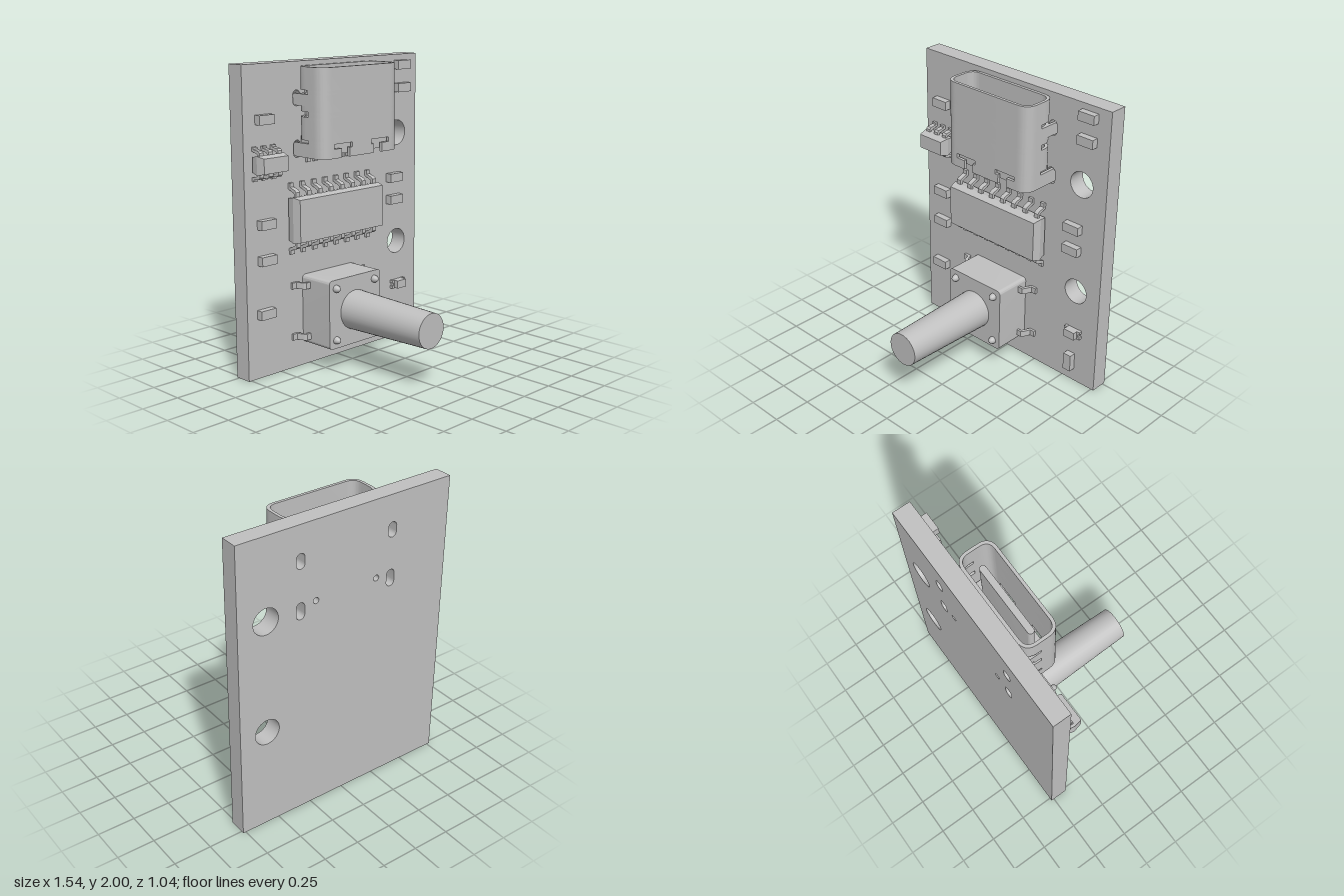
import * as THREE from 'three';
import { toCreasedNormals } from 'three/addons/utils/BufferGeometryUtils.js';

const FRONT = -0.4; // z of the board's component side

export function createModel() {
  const model = new THREE.Group();
  const grey = new THREE.MeshStandardMaterial({ color: 0xc0c0c0 });
  grey.name = 'plain grey';

  const add = (name, geo, x = 0, y = 0, z = 0, parent = model) => {
    const mesh = new THREE.Mesh(geo, grey);
    mesh.name = name;
    mesh.position.set(x, y, z);
    parent.add(mesh);
    return mesh;
  };
  const group = (name) => {
    const g = new THREE.Group();
    g.name = name;
    model.add(g);
    return g;
  };
  // Box given by its limits
  const block = (name, x0, x1, y0, y1, z0, z1, parent) =>
    add(name, new THREE.BoxGeometry(x1 - x0, y1 - y0, z1 - z0), (x0 + x1) / 2, (y0 + y1) / 2, (z0 + z1) / 2, parent);
  const extrude = (shape, depth) =>
    toCreasedNormals(new THREE.ExtrudeGeometry(shape, { depth, bevelEnabled: false, curveSegments: 16 }), 0.6);

  // Moulded chip body, widest halfway up
  const chipBody = (w, h, d, inset) => {
    const geo = new THREE.BoxGeometry(w, h, d, 1, 1, 2);
    const p = geo.attributes.position;
    for (let i = 0; i < p.count; i++) {
      if (Math.abs(p.getZ(i)) < 1e-4) continue;
      p.setX(i, p.getX(i) - Math.sign(p.getX(i)) * inset);
      p.setY(i, p.getY(i) - Math.sign(p.getY(i)) * inset);
    }
    const flat = geo.toNonIndexed();
    flat.computeVertexNormals();
    return flat;
  };

  // Bent lead running out along +x and stepping down to the board
  const leadGeometry = (reach, height, width, t = 0.017) => {
    const a = reach * 0.35, b = reach * 0.6;
    const pts = [[-0.02, height], [a, height], [a + 0.012, height - 0.012], [b + 0.006, t], [reach, t],
      [reach, 0], [b - 0.006, 0], [a - 0.008, height - t - 0.006], [a - 0.014, height - t], [-0.02, height - t]];
    const shape = new THREE.Shape(pts.map(([x, y]) => new THREE.Vector2(x, y)));
    const geo = new THREE.ExtrudeGeometry(shape, { depth: width, bevelEnabled: false });
    return geo.translate(0, 0, -width / 2).rotateX(Math.PI / 2);
  };

  // Circuit board with mounting holes, slots and locating holes
  const rect = new THREE.Shape([[-0.77, 0], [0.77, 0], [0.77, 2], [-0.77, 2]].map(([x, y]) => new THREE.Vector2(x, y)));
  const round = (x, y, r) => rect.holes.push(new THREE.Path().absarc(x, y, r, 0, Math.PI * 2, true));
  const slot = (x, y, r, half) => {
    const p = new THREE.Path();
    p.absarc(x, y + half, r, 0, Math.PI, false);
    p.absarc(x, y - half, r, Math.PI, Math.PI * 2, false);
    p.closePath();
    rect.holes.push(p);
  };
  round(0.577, 1.464, 0.087);
  round(0.577, 0.695, 0.087);
  for (const s of [-1, 1]) {
    slot(s * 0.335, 1.77, 0.03, 0.02);
    slot(s * 0.335, 1.447, 0.03, 0.026);
    round(s * 0.224, 1.48, 0.02);
  }
  add('circuitBoard', extrude(rect, 0.12), 0, 0, -0.52);

  // Connector shell, stacked from half sections so its side slots stay open
  const socket = group('socket');
  const W = 0.342, F = 0.152, B = 0.395, R = 0.085, T = 0.02;
  const shellPart = (y0, y1, xin = 0, full = true) => {
    for (const s of [-1, 1]) {
      const p = new THREE.Shape();
      p.moveTo(s * xin, F);
      p.lineTo(s * (W - R), F);
      p.quadraticCurveTo(s * W, F, s * W, F + R);
      if (full) {
        p.lineTo(s * W, B - R);
        p.quadraticCurveTo(s * W, B, s * (W - R), B);
        p.lineTo(0, B);
        p.lineTo(0, B - T);
        p.lineTo(s * (W - R), B - T);
        p.quadraticCurveTo(s * (W - T), B - T, s * (W - T), B - R);
      } else {
        p.lineTo(s * W, 0.286);
        p.lineTo(s * (W - T), 0.286);
      }
      p.lineTo(s * (W - T), F + R);
      p.quadraticCurveTo(s * (W - T), F + T, s * (W - R), F + T);
      p.lineTo(s * xin, F + T);
      p.closePath();
      add('socketShell', extrude(p, y1 - y0).rotateX(-Math.PI / 2), 0, y0, 0, socket);
    }
  };
  shellPart(1.825, 1.97);
  shellPart(1.8, 1.825, 0, false);
  shellPart(1.69, 1.8);
  shellPart(1.657, 1.69, 0, false);
  shellPart(1.51, 1.657);
  shellPart(1.49, 1.51, 0, false);
  shellPart(1.46, 1.49, 0.245, false);
  shellPart(1.4, 1.46, 0.18, false);
  block('shellFrontTab', -0.085, 0.085, 1.46, 1.49, -F - T, -F, socket);
  block('shellFrontTab', -0.11, 0.11, 1.4, 1.46, -F - T, -F, socket);
  block('shellBack', -0.27, 0.27, 1.4, 1.83, -B, -B + T, socket);
  block('socketInsulator', -0.315, 0.315, 1.42, 1.53, -0.385, -0.19, socket);
  const tongue = new THREE.Shape();
  tongue.absarc(0.23, 0.279, 0.021, -Math.PI / 2, Math.PI / 2);
  tongue.absarc(-0.23, 0.279, 0.021, Math.PI / 2, Math.PI * 1.5);
  add('socketTongue', extrude(tongue, 0.39).rotateX(-Math.PI / 2), 0, 1.5, 0, socket);
  for (const s of [-1, 1]) {
    const x = s * (W - T / 2);
    block('shellLeg', x - T / 2, x + T / 2, 1.725, 1.8, -0.46, -0.286, socket);
    block('shellLeg', x - T / 2, x + T / 2, 1.4, 1.49, -0.46, -0.28, socket);
    for (const [px, w] of [[0.25, 0.028], [0.19, 0.028], [0.137, 0.018], [0.098, 0.018], [0.059, 0.018], [0.02, 0.018]])
      block('socketPin', s * px - w / 2, s * px + w / 2, 1.355, 1.45, FRONT, -0.382, socket);
  }

  // Chips with bent leads above and below
  const chip = (name, x, y, w, h, count, pitch, reach) => {
    const g = group(name);
    add(name + 'Body', chipBody(w, h, 0.112, 0.012), x, y, -0.329, g);
    const geo = leadGeometry(reach, 0.075, 0.033);
    for (let i = 0; i < count; i++)
      for (const s of [-1, 1])
        add(name + 'Lead', geo, x + (i - (count - 1) / 2) * pitch, y + s * h / 2, FRONT, g).rotation.z = s * Math.PI / 2;
  };
  chip('largeChip', -0.058, 1.005, 0.765, 0.3, 8, 0.0977, 0.083);
  chip('smallChip', -0.616, 1.39, 0.218, 0.12, 3, 0.074, 0.047);

  // Push button with a long tapered plunger
  const button = group('pushButton');
  const bx = -0.077, by = 0.386, half = 0.23, r = 0.025;
  const base = new THREE.Shape();
  [[1, 1], [-1, 1], [-1, -1], [1, -1]].forEach(([sx, sy], i) =>
    base.absarc(sx * (half - r), sy * (half - r), r, i * Math.PI / 2, (i + 1) * Math.PI / 2));
  add('buttonBase', extrude(base, 0.257), bx, by, FRONT, button);
  add('buttonPlunger', new THREE.CylinderGeometry(0.114, 0.132, 0.668, 32).rotateX(Math.PI / 2), bx, by, 0.19, button);
  const buttonLead = leadGeometry(0.1, 0.078, 0.042);
  for (const sx of [-1, 1])
    for (const sy of [-1, 1]) {
      add('buttonRivet', new THREE.SphereGeometry(0.025, 16, 12).scale(1, 1, 1.5), bx + sx * 0.173, by + sy * 0.173, -0.143, button);
      add('buttonLead', buttonLead, bx + sx * half, by + sy * 0.173, FRONT, button).rotation.z = sx > 0 ? 0 : Math.PI;
    }

  // Small surface parts
  const partGeo = new THREE.BoxGeometry(0.122, 0.06, 0.045);
  for (const [x, y, turn] of [[0.614, 1.93], [0.614, 1.775], [0.54, 1.157], [0.54, 1.003], [-0.614, 1.66],
    [-0.614, 1.003], [-0.614, 0.772], [-0.63, 0.425], [0.569, 0.154, 1]])
    add('resistor', partGeo, x, y, FRONT + 0.0225).rotation.z = turn ? Math.PI / 2 : 0;

  // Indicator lamp with notched ends
  const lamp = group('indicatorLamp');
  block('lampLens', 0.54, 0.624, 0.36, 0.415, FRONT, -0.345, lamp);
  block('lampBase', 0.53, 0.634, 0.36, 0.415, FRONT, -0.376, lamp);
  for (const s of [-1, 1])
    for (const t of [-1, 1])
      add('lampTerminal', new THREE.BoxGeometry(0.022, 0.02, 0.024), 0.582 + s * 0.053, 0.387 + t * 0.02, FRONT + 0.012, lamp);

  return model;
}
